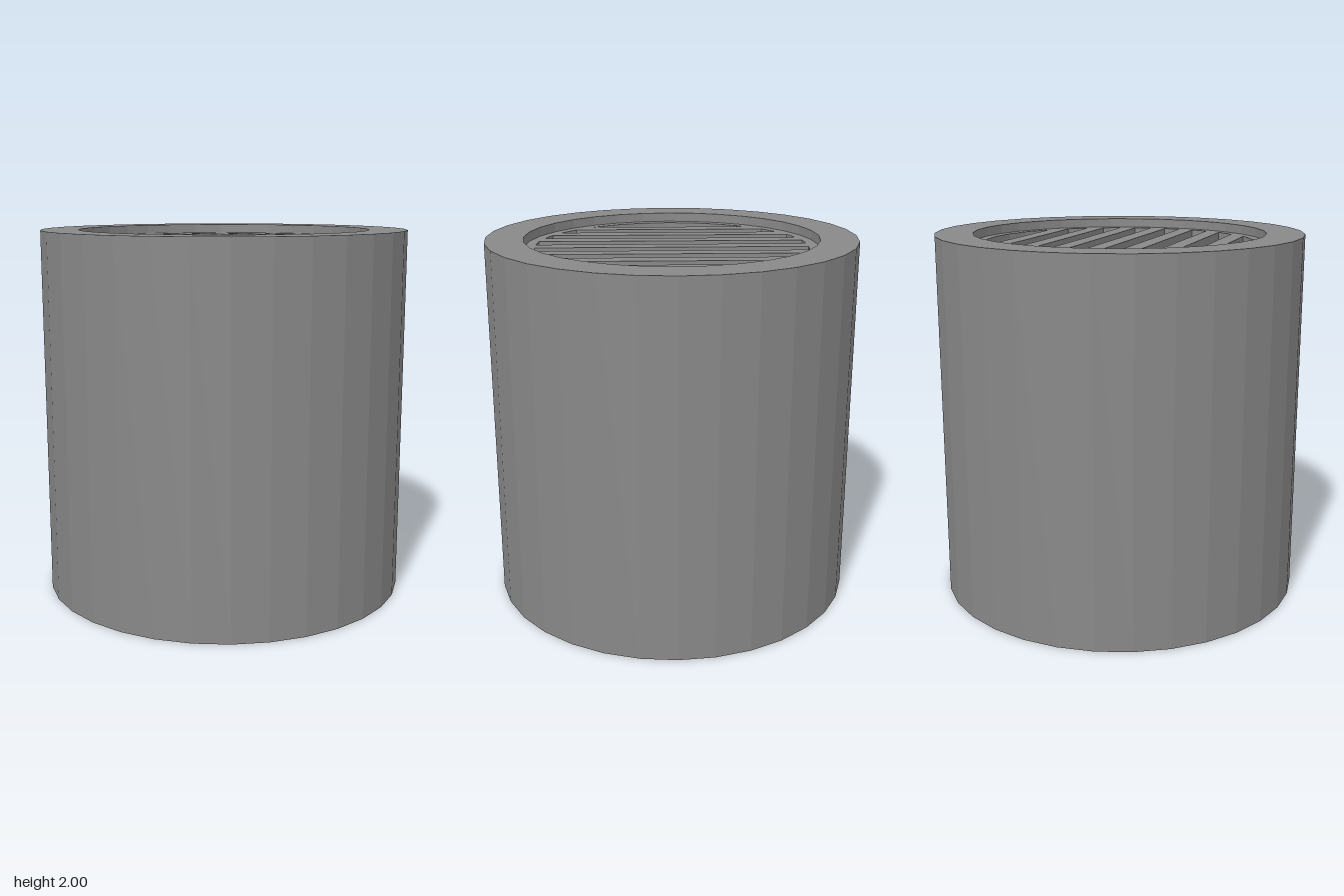
import * as THREE from 'three';

const SIDES = 32;
const BORE = 0.74;         // inner radius of the tube
const LEDGE = 1.95;        // top of the grille
const GRILLE_BOTTOM = 1.8;

export function createModel() {
  const model = new THREE.Group();
  const grey = new THREE.MeshStandardMaterial({ color: 0x888888, flatShading: true });
  const black = new THREE.MeshStandardMaterial({ color: 0x070707, flatShading: true });

  const add = (name, geometry, material, parent = model) => {
    const mesh = new THREE.Mesh(geometry, material);
    mesh.name = name;
    parent.add(mesh);
    return mesh;
  };

  // Thick tube with a shallow recess around the top opening
  const profile = [
    [BORE, 0], [1, 0], [1, 2], [0.795, 2], [0.795, LEDGE], [BORE, LEDGE], [BORE, 0],
  ].map(([r, y]) => new THREE.Vector2(r, y));
  add('housing', new THREE.LatheGeometry(profile, SIDES), grey);

  // Grille bars, their ends cut to follow the bore
  const grille = new THREE.Group();
  grille.name = 'grille';
  model.add(grille);
  const reach = (x) => Math.sqrt(0.745 ** 2 - x * x);
  for (let i = -3; i <= 3; i++) {
    const centre = 0.005 + i * 0.1835;
    const xs = [-0.045, -0.015, 0.015, 0.045].map((d) => centre + d);
    const outline = [
      ...xs.map((x) => new THREE.Vector2(x, -reach(x))),
      ...xs.reverse().map((x) => new THREE.Vector2(x, reach(x))),
    ];
    const bar = new THREE.ExtrudeGeometry(new THREE.Shape(outline), {
      depth: LEDGE - GRILLE_BOTTOM, bevelEnabled: false,
    });
    bar.rotateX(-Math.PI / 2);
    bar.translate(0, GRILLE_BOTTOM, 0);
    add('grilleBar', bar, grey, grille);
  }

  // Dark core filling the bore beneath the grille
  const coreBottom = 0.7;
  const core = add('core', new THREE.CylinderGeometry(
    BORE, BORE, GRILLE_BOTTOM - coreBottom, SIDES), black);
  core.position.y = (GRILLE_BOTTOM + coreBottom) / 2;

  return model;
}
